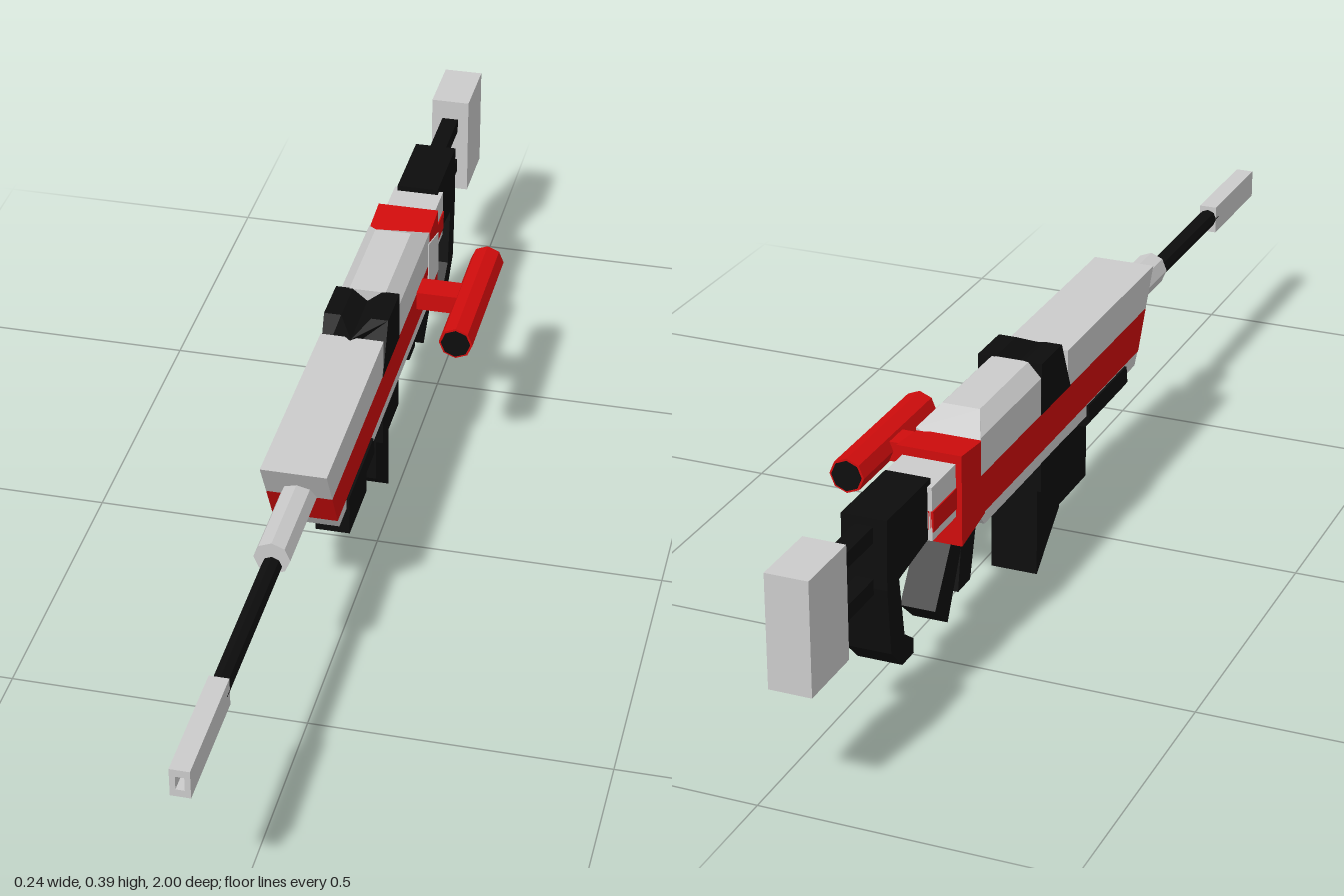
import * as THREE from 'three';

const CX = -0.06; // centre plane of the rifle
const material = (color) => new THREE.MeshStandardMaterial({ color, flatShading: true });

export function createModel() {
  const model = new THREE.Group();
  const grey = material(0xcccccc);
  const red = material(0xd00c0c);
  const black = material(0x0d0d0d);

  const add = (name, geometry, mat) => {
    const mesh = new THREE.Mesh(geometry, mat);
    mesh.name = name;
    model.add(mesh);
    return mesh;
  };
  const toShape = (pts) => new THREE.Shape(pts.map(([a, b]) => new THREE.Vector2(a, b)));

  // Side profile of [z, y] points, given a width in x
  const profile = (name, pts, width, mat, x = CX) => {
    const g = new THREE.ExtrudeGeometry(toShape(pts), { depth: width, bevelEnabled: false });
    g.translate(0, 0, -width / 2).rotateY(-Math.PI / 2).translate(x, 0, 0);
    return add(name, g, mat);
  };
  // Cross-section of [x, y] points, run from z0 to z1
  const section = (name, shape, z0, z1, mat) => {
    const g = new THREE.ExtrudeGeometry(shape, { depth: z1 - z0, bevelEnabled: false });
    g.translate(CX, 0, z0);
    return add(name, g, mat);
  };
  const box = (name, width, y0, y1, z0, z1, mat, x = CX) => {
    const g = new THREE.BoxGeometry(width, y1 - y0, z1 - z0);
    g.translate(x, (y0 + y1) / 2, (z0 + z1) / 2);
    return add(name, g, mat);
  };
  // Eight-sided rod along z
  const rod = (name, radius, x, y, z0, z1, mat) => {
    const g = new THREE.CylinderGeometry(radius, radius, z1 - z0, 8);
    g.rotateX(Math.PI / 2).translate(x, y, (z0 + z1) / 2);
    return add(name, g, mat);
  };

  // Muzzle with bore, barrel and sleeve
  const muzzle = toShape([[-0.016, 0.265], [0.016, 0.265], [0.016, 0.315], [-0.016, 0.315]]);
  muzzle.holes.push(toShape([[-0.007, 0.278], [-0.007, 0.302], [0.007, 0.302], [0.007, 0.278]]));
  section('muzzle', muzzle, 0.785, 1, grey);
  rod('barrel', 0.0165, CX, 0.292, 0.46, 0.8, black);
  rod('barrelSleeve', 0.03, CX, 0.305, 0.28, 0.475, grey);

  // Layered receiver with raked front
  profile('upperReceiver', [[0.335, 0.37], [-0.07, 0.37], [-0.07, 0.303], [0.3, 0.303]], 0.11, grey);
  profile('sideStripe', [[0.3, 0.303], [-0.44, 0.303], [-0.44, 0.235], [0.265, 0.235]], 0.11, red);
  profile('lowerReceiver', [[0.265, 0.235], [-0.44, 0.235], [-0.42, 0.213], [0.25, 0.213]], 0.108, grey);

  // Black band with a sighting notch, sloped at the front
  const band = section('sightBand', toShape([[-0.056, 0.303], [0.056, 0.303], [0.056, 0.393],
    [0.026, 0.393], [0, 0.372], [-0.026, 0.393], [-0.056, 0.393]]), -0.187, -0.06, black);
  const p = band.geometry.attributes.position;
  for (let i = 0; i < p.count; i++) {
    if (p.getZ(i) > -0.07 && p.getY(i) > 0.38) p.setZ(i, -0.1);
  }
  band.geometry.computeVertexNormals();

  // Chamfered rear cover, sloping down at the back
  const cover = section('rearCover', toShape([[-0.055, 0.303], [0.055, 0.303], [0.055, 0.368],
    [0.032, 0.393], [-0.032, 0.393], [-0.055, 0.368]]), -0.435, -0.185, grey);
  const q = cover.geometry.attributes.position;
  for (let i = 0; i < q.count; i++) {
    if (q.getZ(i) < -0.4 && q.getY(i) > 0.38) q.setZ(i, -0.385);
  }
  cover.geometry.computeVertexNormals();

  // Red rear block with a grey side panel
  profile('rearBlock', [[-0.43, 0.362], [-0.51, 0.37], [-0.51, 0.215], [-0.42, 0.232]], 0.11, red);
  profile('sidePanel', [[-0.425, 0.35], [-0.508, 0.325], [-0.508, 0.245], [-0.425, 0.245]], 0.004, grey, -0.005);

  // Stock neck, grip, rods and butt
  box('stockNeck', 0.09, 0.265, 0.355, -0.6, -0.5, grey);
  box('neckStripe', 0.094, 0.28, 0.315, -0.6, -0.5, red);
  profile('rearGrip', [[-0.588, 0.365], [-0.745, 0.365], [-0.748, 0.25], [-0.738, 0.138], [-0.7, 0.1],
    [-0.658, 0.1], [-0.658, 0.125], [-0.69, 0.148], [-0.706, 0.25], [-0.588, 0.268]], 0.075, black);
  for (const y of [0.338, 0.252]) box('stockRod', 0.03, y - 0.013, y + 0.013, -0.89, -0.73, black);
  box('butt', 0.07, 0.2, 0.388, -1, -0.877, grey);

  // Underside: foregrip, magazines and collar
  section('foregrip', toShape([[-0.052, 0.192], [0.052, 0.192], [0.06, 0.203], [0.058, 0.232],
    [-0.058, 0.232], [-0.06, 0.203]]), 0.02, 0.2, black);
  box('frontMagazine', 0.06, 0.07, 0.22, -0.045, 0.08, black);
  box('magazineCollar', 0.11, 0.163, 0.214, -0.187, -0.065, black);
  profile('rearMagazine', [[-0.072, 0.18], [-0.17, 0.18], [-0.17, 0], [-0.072, 0.08]], 0.082, black);

  // Trigger and angled grips
  profile('triggerTab', [[-0.34, 0.218], [-0.39, 0.218], [-0.39, 0.188], [-0.348, 0.188]], 0.045, black);
  profile('triggerGuard', [[-0.38, 0.218], [-0.44, 0.218], [-0.46, 0.105], [-0.412, 0.105]], 0.05, black);
  profile('pistolGrip', [[-0.44, 0.22], [-0.49, 0.22], [-0.56, 0.12], [-0.513, 0.078]], 0.06, black);

  // Side scope with dark lenses and its mounting arm
  rod('scope', 0.03, 0.091, 0.29, -0.49, -0.21, red);
  rod('scopeLens', 0.026, 0.091, 0.29, -0.492, -0.208, black);
  box('scopeArm', 0.09, 0.272, 0.306, -0.38, -0.33, red, 0.03);

  return model;
}
